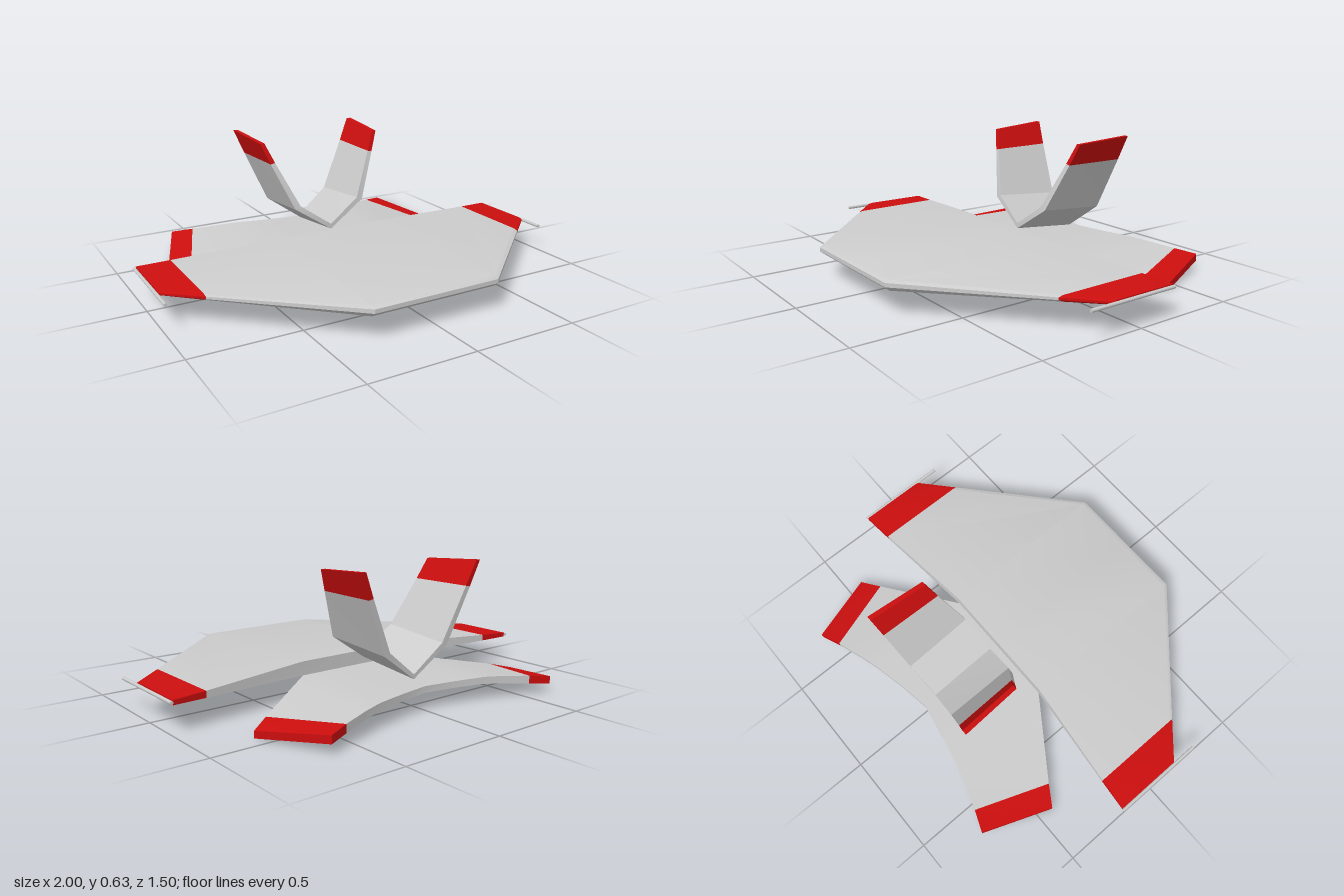
import * as THREE from 'three';
import { toCreasedNormals } from 'three/addons/utils/BufferGeometryUtils.js';

const grey = new THREE.MeshStandardMaterial({ color: 0xcccccc });
grey.name = 'light grey';
const red = new THREE.MeshStandardMaterial({ color: 0xcc0e0e });
red.name = 'red';

// Skin a row of cross-sections running toward +x; each ring goes nose, top, back, bottom.
function loft(sections, crease) {
  const out = [];
  const n = sections[0].length;
  const tri = (a, b, c) => out.push(...a, ...b, ...c);
  for (let i = 0; i < sections.length - 1; i++) {
    const p = sections[i], q = sections[i + 1];
    for (let j = 0; j < n; j++) {
      const k = (j + 1) % n;
      tri(p[j], q[j], q[k]);
      tri(p[j], q[k], p[k]);
    }
  }
  const first = sections[0], last = sections[sections.length - 1];
  for (let j = 1; j < n - 1; j++) {
    tri(first[0], first[j], first[j + 1]);
    tri(last[0], last[j + 1], last[j]);
  }
  const g = new THREE.BufferGeometry();
  g.setAttribute('position', new THREE.Float32BufferAttribute(out, 3));
  return toCreasedNormals(g, crease);
}

const mirrored = (sections) =>
  sections.map((s) => s.map(([x, y, z]) => [-x, y, z])).reverse();

// Symmetric surface from centre to tip; the outermost bay on each side is red.
function surface(name, half, crease) {
  const group = new THREE.Group();
  group.name = name;
  const add = (part, sections, material) => {
    const mesh = new THREE.Mesh(loft(sections, crease), material);
    mesh.name = part;
    group.add(mesh);
  };
  const inner = half.slice(0, -1);
  const tip = half.slice(-2);
  add(name + 'Panel', [...mirrored(inner.slice(1)), ...inner], grey);
  add(name + 'LeftTip', tip, red);
  add(name + 'RightTip', mirrored(tip), red);
  return group;
}

// Wing cross-section with a bevelled leading edge
const wingSection = (x, front, back, low, high, rearHigh) => {
  const h = high - low;
  return [
    [x, low + h * 0.4, front],
    [x, low + h * 0.8, front],
    [x, high, front - 0.022],
    [x, rearHigh, back],
    [x, low, back],
    [x, low, front - 0.022],
  ];
};

// Four-cornered section: front bottom, front top, back top, back bottom
const slab = (fb, ft, bt, bb) => [fb, ft, bt, bb];
const flat = (xf, xb, zf, zb, f0, f1, b0, b1) =>
  slab([xf, f0, zf], [xf, f1, zf], [xb, b1, zb], [xb, b0, zb]);

export function createModel() {
  const model = new THREE.Group();
  model.name = 'glider';

  // Main wing
  model.add(surface('wing', [
    wingSection(0, 0.745, -0.12, 0.11, 0.157, 0.175),
    wingSection(0.31, 0.745, -0.12, 0.11, 0.157, 0.175),
    wingSection(0.83, 0.28, -0.175, 0.118, 0.145, 0.148),
    wingSection(0.985, 0.142, -0.19, 0.121, 0.142, 0.142),
  ], 0.5));

  // Drooped lower tailplane
  model.add(surface('tailplane', [
    flat(0, 0, -0.05, -0.585, 0.06, 0.11, 0.08, 0.11),
    flat(0.16, 0.16, -0.06, -0.612, 0.06, 0.11, 0.08, 0.11),
    flat(0.31, 0.31, -0.12, -0.645, 0.058, 0.11, 0.078, 0.11),
    flat(0.42, 0.4, -0.195, -0.67, 0.046, 0.094, 0.068, 0.104),
    flat(0.67, 0.54, -0.365, -0.715, 0.016, 0.055, 0.054, 0.091),
    flat(0.765, 0.64, -0.425, -0.755, 0.002, 0.033, 0.045, 0.08),
  ], 0.6));

  // Upright V fins with a kink near the root
  model.add(surface('fin', [
    slab([0, 0.16, -0.17], [0, 0.185, -0.17], [0, 0.147, -0.515], [0, 0.125, -0.515]),
    slab([0.19, 0.285, -0.185], [0.16, 0.297, -0.185], [0.155, 0.268, -0.53], [0.185, 0.257, -0.53]),
    slab([0.285, 0.51, -0.25], [0.262, 0.515, -0.25], [0.27, 0.515, -0.555], [0.295, 0.51, -0.555]),
    slab([0.325, 0.61, -0.277], [0.303, 0.61, -0.277], [0.32, 0.628, -0.567], [0.343, 0.628, -0.567]),
  ], 0.4));

  // Wingtip rods
  for (const side of [1, -1]) {
    const rod = new THREE.Mesh(new THREE.CylinderGeometry(0.008, 0.008, 0.455, 10), grey);
    rod.name = side > 0 ? 'leftTipRod' : 'rightTipRod';
    rod.rotation.x = Math.PI / 2;
    rod.position.set(side * 0.992, 0.132, 0.035);
    model.add(rod);
  }
  return model;
}
